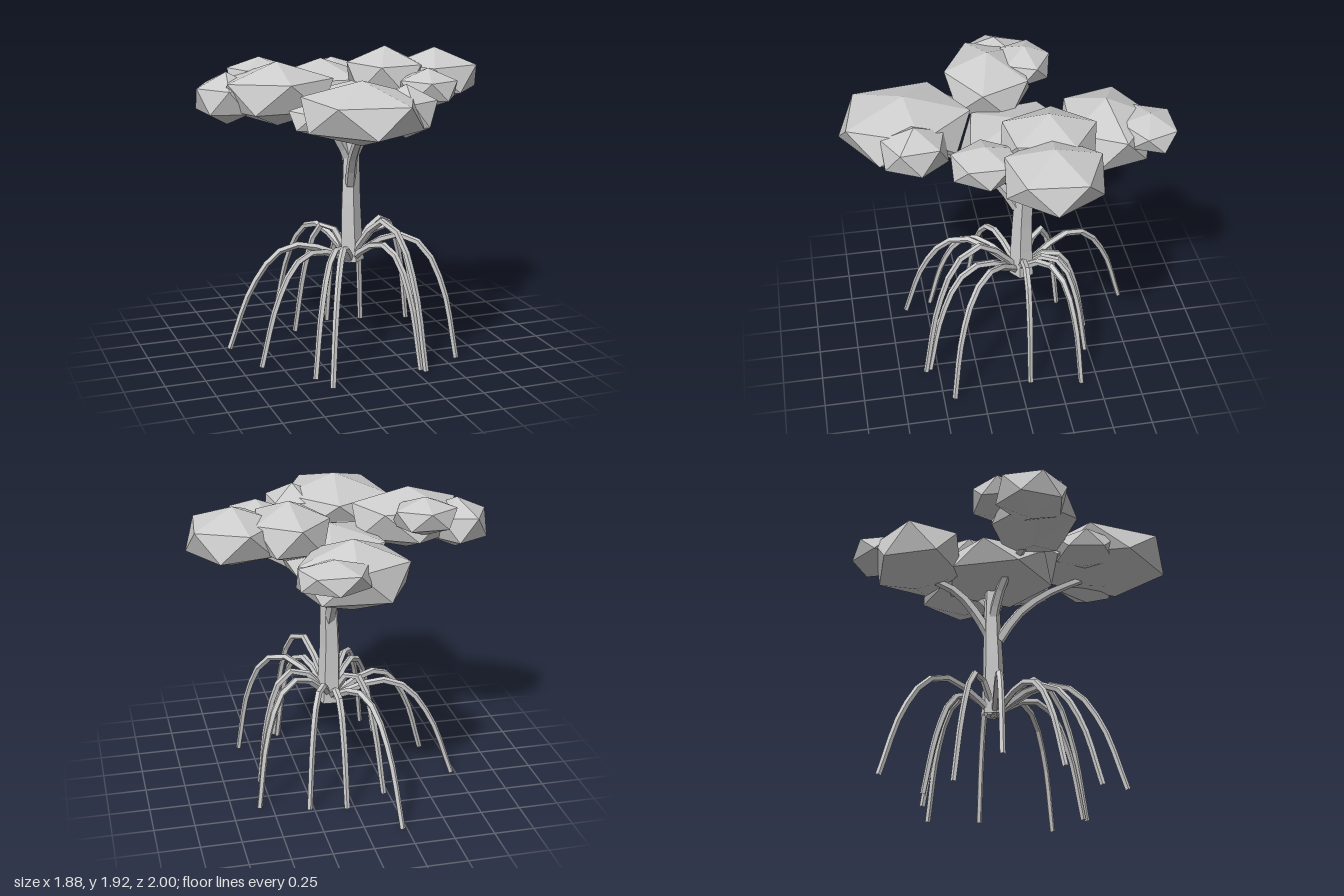
import * as THREE from 'three';

const bark = new THREE.MeshStandardMaterial({ color: 0xcccccc, flatShading: true });
bark.name = 'pale grey';

// Tapered limb: rings of a tube pulled in towards the path as it goes outward
function limb(name, points, r0, r1, steps, sides) {
  const curve = new THREE.CatmullRomCurve3(points.map(p => new THREE.Vector3(...p)));
  const geo = new THREE.TubeGeometry(curve, steps, 1, sides, false);
  const pos = geo.attributes.position;
  const v = new THREE.Vector3();
  for (let i = 0; i < pos.count; i++) {
    const t = Math.floor(i / (sides + 1)) / steps;
    const c = curve.getPointAt(t);
    v.fromBufferAttribute(pos, i).sub(c).multiplyScalar(r0 + (r1 - r0) * t).add(c);
    pos.setXYZ(i, v.x, v.y, v.z);
  }
  geo.computeVertexNormals();
  const mesh = new THREE.Mesh(geo, bark);
  mesh.name = name;
  return mesh;
}

// Leaf clump: flattened icosahedron standing on a corner; rx and rz are its ring
// radii, yaw is the direction in degrees (from +x towards +z) of an upper corner
function clump([x, y, z, rx, ry, rz, yaw]) {
  const geo = new THREE.IcosahedronGeometry(1, 0);
  geo.rotateZ(Math.atan(2 / (1 + Math.sqrt(5))));
  // After this turn one upper corner points along -x
  geo.rotateY(Math.PI - THREE.MathUtils.degToRad(yaw));
  geo.scale(rx / 0.894, ry, rz / 0.894);
  geo.computeVertexNormals();
  const mesh = new THREE.Mesh(geo, bark);
  mesh.name = 'leafClump';
  mesh.position.set(x, y, z);
  return mesh;
}

export function createModel() {
  const tree = new THREE.Group();
  tree.name = 'mangroveTree';

  // Trunk, with a closed underside
  tree.add(limb('trunk', [[0.07, 0.56, -0.09], [0.06, 0.85, -0.092], [0.065, 1.15, -0.1], [0.065, 1.5, -0.1]],
    0.08, 0.047, 5, 5));
  const base = new THREE.Mesh(new THREE.CylinderGeometry(0.06, 0.05, 0.03, 5), bark);
  base.name = 'trunkBase';
  base.position.set(0.07, 0.57, -0.09);
  tree.add(base);

  // Branches
  const branches = [
    [[0.05, 1.07, -0.06], [0.02, 1.26, 0.06], [-0.01, 1.42, 0.25], [-0.06, 1.53, 0.48]],
    [[0.07, 1.1, -0.11], [0.07, 1.25, -0.2], [0.07, 1.4, -0.34], [0.06, 1.48, -0.55]],
    [[0.07, 1.22, -0.1], [0.16, 1.37, -0.1], [0.29, 1.48, -0.11], [0.55, 1.63, -0.13]],
    [[0.06, 1.2, -0.1], [-0.02, 1.36, -0.08], [-0.13, 1.49, -0.04], [-0.38, 1.6, 0.04]],
  ];
  for (const path of branches) tree.add(limb('branch', path, 0.036, 0.024, 6, 5));

  // Arching stilt roots: foot x, foot z, arch height, outward bulge
  const roots = [
    [-0.62, 0.17, 0.67, 0], [-0.37, 0.47, 0.71, 0], [-0.32, 0.64, 0.73, 0], [0.31, 0.58, 0.88, 0.03],
    [0.29, 0.55, 0.73, 0.03], [0.58, 0.43, 0.77, 0.06], [0.52, -0.07, 0.78, 0.06], [0.58, -0.39, 0.78, 0.06],
    [0.28, -0.48, 0.73, 0.02], [0.05, -0.52, 0.69, 0], [-0.22, -0.83, 0.73, 0], [-0.22, -0.39, 0.79, -0.02],
    [-0.72, -0.22, 0.68, -0.01],
  ];
  for (const [fx, fz, top, bulge] of roots) {
    const arch = [[0, 0.56], [0.2, 0.56 + (top - 0.56) * 0.6], [0.41 + bulge * 0.5, top],
      [0.61 + bulge, top * 0.93], [0.82 + bulge * 0.8, top * 0.6], [1, 0.005]];
    const path = arch.map(([t, y]) => [0.06 + (fx - 0.06) * t, y, -0.08 + (fz + 0.08) * t]);
    tree.add(limb('stiltRoot', path, 0.024, 0.018, 10, 5));
  }

  // Canopy: centre x y z, ring radius x, half height, ring radius z, yaw
  const canopy = new THREE.Group();
  canopy.name = 'canopy';
  const clumps = [
    [-0.125, 1.65, 0.6, 0.35, 0.19, 0.4, 63],
    [0.16, 1.64, 0.57, 0.18, 0.16, 0.2, 30],
    [-0.31, 1.6, 0.42, 0.19, 0.11, 0.19, 50],
    [0.06, 1.563, -0.07, 0.35, 0.165, 0.36, 63],
    [0.33, 1.735, -0.19, 0.24, 0.185, 0.29, 48],
    [0.66, 1.72, -0.16, 0.28, 0.18, 0.29, 42],
    [0.46, 1.7, 0.2, 0.18, 0.125, 0.2, 36],
    [0.04, 1.585, -0.6, 0.34, 0.215, 0.28, 60],
    [0.2, 1.66, -0.83, 0.21, 0.11, 0.17, 20],
    [-0.46, 1.695, 0.04, 0.35, 0.195, 0.27, 17],
    [-0.75, 1.67, -0.05, 0.19, 0.16, 0.22, 30],
    [-0.5, 1.77, -0.2, 0.2, 0.12, 0.16, 54],
  ];
  for (const c of clumps) canopy.add(clump(c));
  tree.add(canopy);
  return tree;
}
